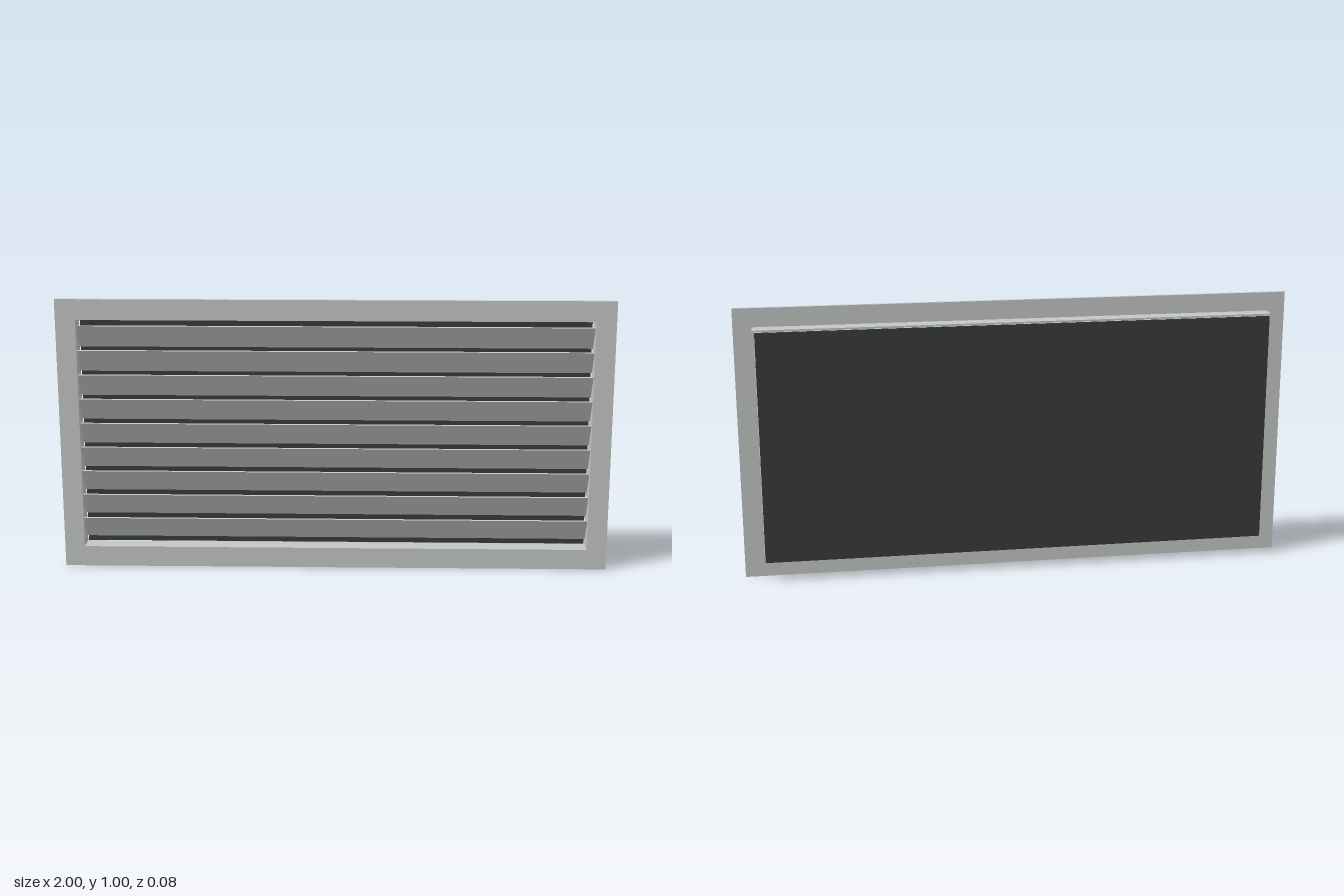
import * as THREE from 'three';

// Rectangular ring, centred on (0, 0.5), from z0 to z1
function ring(w, h, innerW, innerH, z0, z1) {
  const corners = (a, b) => [[-a, -b], [a, -b], [a, b], [-a, b]].map(([x, y]) => new THREE.Vector2(x / 2, y / 2));
  const shape = new THREE.Shape(corners(w, h));
  shape.holes.push(new THREE.Path(corners(innerW, innerH).reverse()));
  const geometry = new THREE.ExtrudeGeometry(shape, { depth: z1 - z0, bevelEnabled: false });
  return geometry.translate(0, 0.5, z0);
}

export function createModel() {
  const group = new THREE.Group();
  const metal = new THREE.MeshStandardMaterial({ color: 0xc3c7c5 });
  metal.name = 'light grey metal';
  const dark = new THREE.MeshStandardMaterial({ color: 0x393b38 });
  dark.name = 'dark screen';

  function add(name, geometry, material) {
    const mesh = new THREE.Mesh(geometry, material);
    mesh.name = name;
    group.add(mesh);
    return mesh;
  }

  // Flat front flange and the duct sleeve behind it
  add('flange', ring(2, 1, 1.855, 0.85, 0.027, 0.04), metal);
  add('sleeve', ring(1.868, 0.864, 1.855, 0.85, -0.03, 0.027), metal);

  // Nine slanted blades: high front edge, low back edge
  const bladeGeometry = new THREE.BoxGeometry(1.855, 0.096, 0.005);
  for (let i = 0; i < 9; i++) {
    const blade = add('blade' + (i + 1), bladeGeometry, metal);
    blade.position.set(0, 0.5 + (i - 4) * 0.09, 0);
    blade.rotation.x = Math.PI / 6;
  }

  // Thin screen closing the back
  const screen = add('backScreen', new THREE.BoxGeometry(1.85, 0.85, 0.005), dark);
  screen.position.set(0, 0.5, -0.0365);

  return group;
}
